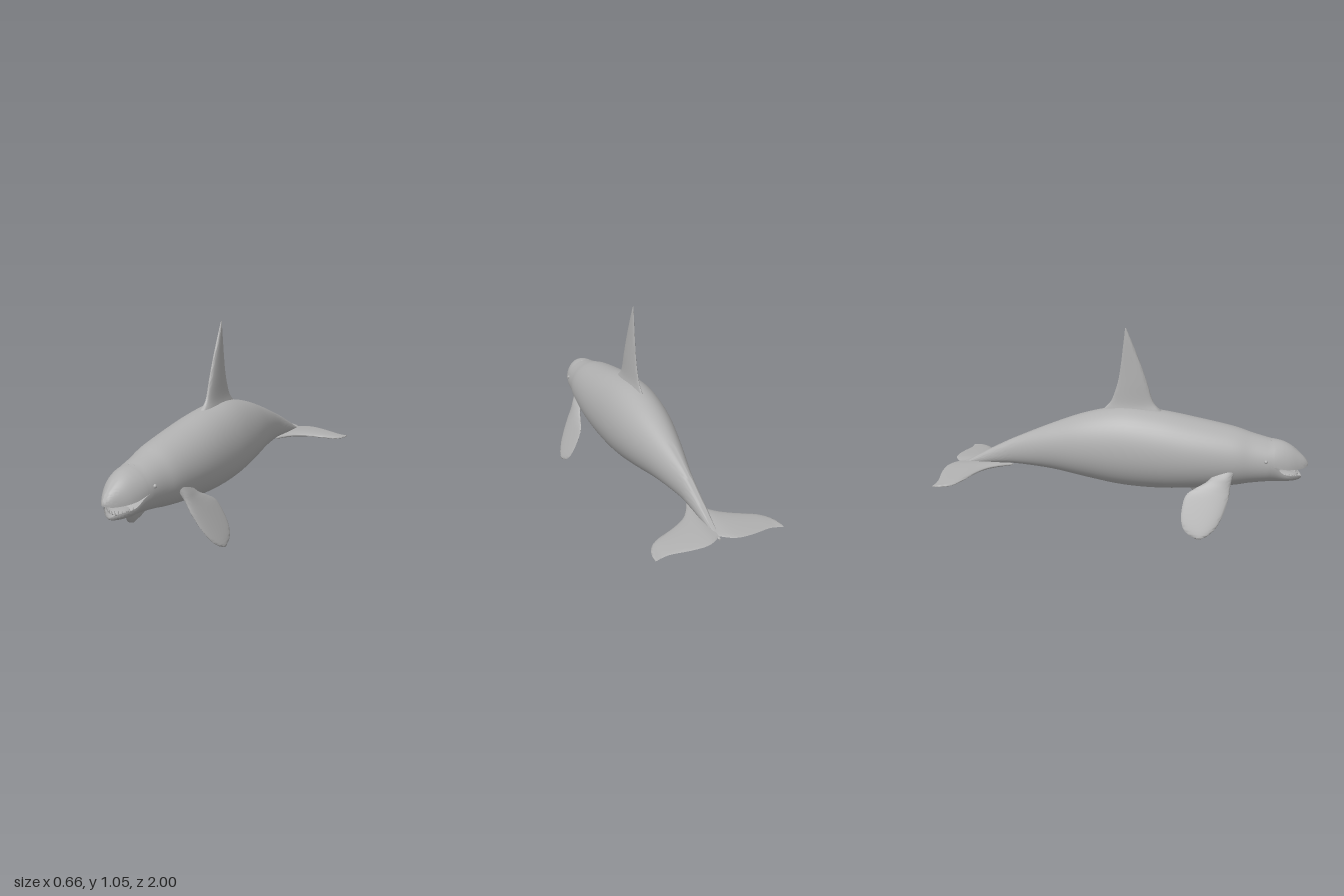
import * as THREE from 'three';
import { mergeGeometries, toCreasedNormals } from 'three/addons/utils/BufferGeometryUtils.js';

const skin = new THREE.MeshStandardMaterial({ color: 0xb0b0b0 });
skin.name = 'grey skin';

// Smoothly resample a table of section values
function smooth(rows, steps) {
  const size = rows[0].length;
  const spline = new THREE.CubicInterpolant(rows.map((_, i) => i), rows.flat(), size);
  const out = [];
  for (let i = 0; i <= (rows.length - 1) * steps; i++) out.push(Array.from(spline.evaluate(i / steps)));
  return out;
}

// Skin a list of rings; the last ring is closed to a point, faces point outward
function loft(rings) {
  const n = rings[0].length;
  const centre = (ring) => ring.reduce((s, p) => s.add(p), new THREE.Vector3()).divideScalar(n);
  const tip = centre(rings[rings.length - 1]);
  const all = [...rings, rings[0].map(() => tip)];
  const pts = all.flat();
  let faces = [];
  for (let i = 0; i < all.length - 1; i++) {
    for (let j = 0; j < n; j++) {
      const a = i * n + j, b = i * n + (j + 1) % n;
      faces.push([a, b, b + n]);
      if (i < all.length - 2) faces.push([a, b + n, a + n]);
    }
  }
  const ref = centre(rings[0]);
  const rel = pts.map((p) => p.clone().sub(ref));
  const volume = faces.reduce((s, [a, b, c]) => s + rel[a].dot(rel[b].clone().cross(rel[c])), 0);
  if (volume < 0) faces = faces.map(([a, b, c]) => [a, c, b]);
  const geo = new THREE.BufferGeometry().setFromPoints(pts);
  geo.setIndex(faces.flat());
  return geo;
}

const RING = 48;
// Body rings from rows of [z, top, widest height, bottom, half width]
const trunk = (rows) => loft(smooth(rows, 5).map(([z, top, mid, bottom, w]) =>
  Array.from({ length: RING }, (_, j) => {
    const a = (j / RING) * Math.PI * 2, s = Math.sin(a);
    return new THREE.Vector3(w * Math.cos(a), mid + (s > 0 ? top - mid : mid - bottom) * s, z);
  })));

// Fin rings: rows are mapped by place(row, chord 0..1, thickness -1..1)
const fin = (rows, place) => toCreasedNormals(loft(smooth(rows, 5).map((row) =>
  Array.from({ length: 28 }, (_, j) => {
    const a = (j / 28) * Math.PI * 2, c = (1 + Math.cos(a)) / 2;
    return place(row, c, Math.sin(a) * (0.5 + 0.7 * c));
  }))), 1.2);

export function createModel() {
  const model = new THREE.Group();
  const add = (name, geo, parent = model) => {
    const mesh = new THREE.Mesh(geo, skin);
    mesh.name = name;
    parent.add(mesh);
    return mesh;
  };

  // Body, upper jaw and hollow lower jaw, sharing one ring behind the mouth
  const torso = trunk([
    [0.8, 0.477, 0.36, 0.245, 0.115], [0.7, 0.503, 0.365, 0.23, 0.13], [0.6, 0.533, 0.37, 0.21, 0.15],
    [0.4, 0.572, 0.375, 0.182, 0.168], [0.2, 0.605, 0.38, 0.167, 0.172], [0, 0.615, 0.385, 0.173, 0.165],
    [-0.2, 0.575, 0.385, 0.203, 0.14], [-0.4, 0.5, 0.37, 0.236, 0.095], [-0.6, 0.412, 0.33, 0.25, 0.047],
    [-0.7, 0.363, 0.3, 0.248, 0.034], [-0.8, 0.31, 0.27, 0.24, 0.025], [-0.9, 0.255, 0.242, 0.228, 0.014],
    [-0.965, 0.232, 0.227, 0.222, 0.005],
  ]);
  const upperJaw = trunk([
    [0.8, 0.477, 0.36, 0.36, 0.115], [0.83, 0.474, 0.356, 0.363, 0.109], [0.87, 0.465, 0.344, 0.36, 0.098],
    [0.91, 0.445, 0.337, 0.355, 0.081], [0.95, 0.414, 0.334, 0.35, 0.055], [0.98, 0.385, 0.335, 0.345, 0.031],
    [1.0, 0.358, 0.342, 0.341, 0.008],
  ]);
  const lowerJaw = trunk([
    [0.8, 0.36, 0.36, 0.245, 0.115], [0.83, 0.325, 0.35, 0.247, 0.106], [0.875, 0.278, 0.312, 0.25, 0.088],
    [0.92, 0.272, 0.301, 0.254, 0.067], [0.95, 0.272, 0.294, 0.259, 0.042], [0.967, 0.275, 0.283, 0.267, 0.016],
  ]);
  add('body', toCreasedNormals(mergeGeometries([torso, upperJaw, lowerJaw]), 1.1));

  // Tongue
  const tongue = add('tongue', new THREE.SphereGeometry(1, 24, 16));
  tongue.scale.set(0.042, 0.012, 0.065);
  tongue.position.set(0, 0.285, 0.88);

  // Teeth just inside the lower lip
  const teeth = new THREE.Group();
  teeth.name = 'lowerTeeth';
  model.add(teeth);
  for (let i = 0; i < 13; i++) {
    const a = ((i - 6) / 6) * 1.3;
    const tooth = add('tooth', new THREE.ConeGeometry(0.005, 0.02, 8), teeth);
    tooth.position.set(0.075 * Math.sin(a), 0.296 + 0.012 * (1 - Math.cos(a)), 0.86 + 0.087 * Math.cos(a));
  }

  // Blowhole crease
  const blowhole = add('blowhole', new THREE.TorusGeometry(0.02, 0.003, 8, 20, Math.PI));
  blowhole.rotation.x = -Math.PI / 2;
  blowhole.scale.y = 0.4;
  blowhole.position.set(0, 0.476, 0.8);

  // Dorsal fin: [y, front z, back z, half thickness]
  add('dorsalFin', fin([
    [0.55, 0.25, -0.14, 0.045], [0.6, 0.215, -0.105, 0.03], [0.65, 0.168, -0.062, 0.02],
    [0.75, 0.135, -0.027, 0.017], [0.85, 0.1, -0.01, 0.013], [0.95, 0.06, 0.002, 0.009],
    [1.02, 0.03, 0.01, 0.005], [1.047, 0.018, 0.012, 0.002],
  ], ([y, front, back, t], c, s) => new THREE.Vector3(t * s, y, back + (front - back) * c)));

  for (const [side, m] of [['left', 1], ['right', -1]]) {
    // Flipper: [y, front z, back z, centre x, half thickness]
    add(side + 'Flipper', fin([
      [0.34, 0.625, 0.52, 0.115, 0.03], [0.3, 0.608, 0.5, 0.14, 0.024], [0.27, 0.6, 0.47, 0.155, 0.02],
      [0.24, 0.596, 0.418, 0.17, 0.018], [0.2, 0.592, 0.367, 0.19, 0.017], [0.12, 0.567, 0.35, 0.23, 0.015],
      [0.06, 0.535, 0.358, 0.26, 0.013], [0.025, 0.5, 0.385, 0.277, 0.011], [0.006, 0.465, 0.425, 0.286, 0.007],
      [0, 0.45, 0.44, 0.288, 0.003],
    ], ([y, front, back, x, t], c, s) => new THREE.Vector3(m * (x + t * s), y, back + (front - back) * c)));

    // Eye, barely proud of the cheek
    const eye = add(side + 'Eye', new THREE.SphereGeometry(0.01, 16, 12));
    eye.position.set(m * 0.115, 0.388, 0.775);

    // Fluke: [x, front z, back z, centre y, half thickness]
    add(side + 'Fluke', fin([
      [0, -0.63, -0.955, 0.24, 0.014], [0.04, -0.705, -0.985, 0.24, 0.017], [0.09, -0.765, -1, 0.238, 0.016],
      [0.165, -0.81, -0.995, 0.234, 0.013], [0.25, -0.845, -0.978, 0.228, 0.01], [0.295, -0.875, -0.978, 0.223, 0.008],
      [0.32, -0.915, -0.984, 0.221, 0.006], [0.33, -0.955, -0.985, 0.22, 0.003],
    ], ([x, front, back, y, t], c, s) => new THREE.Vector3(m * x, y + t * s, back + (front - back) * c)));
  }
  return model;
}
